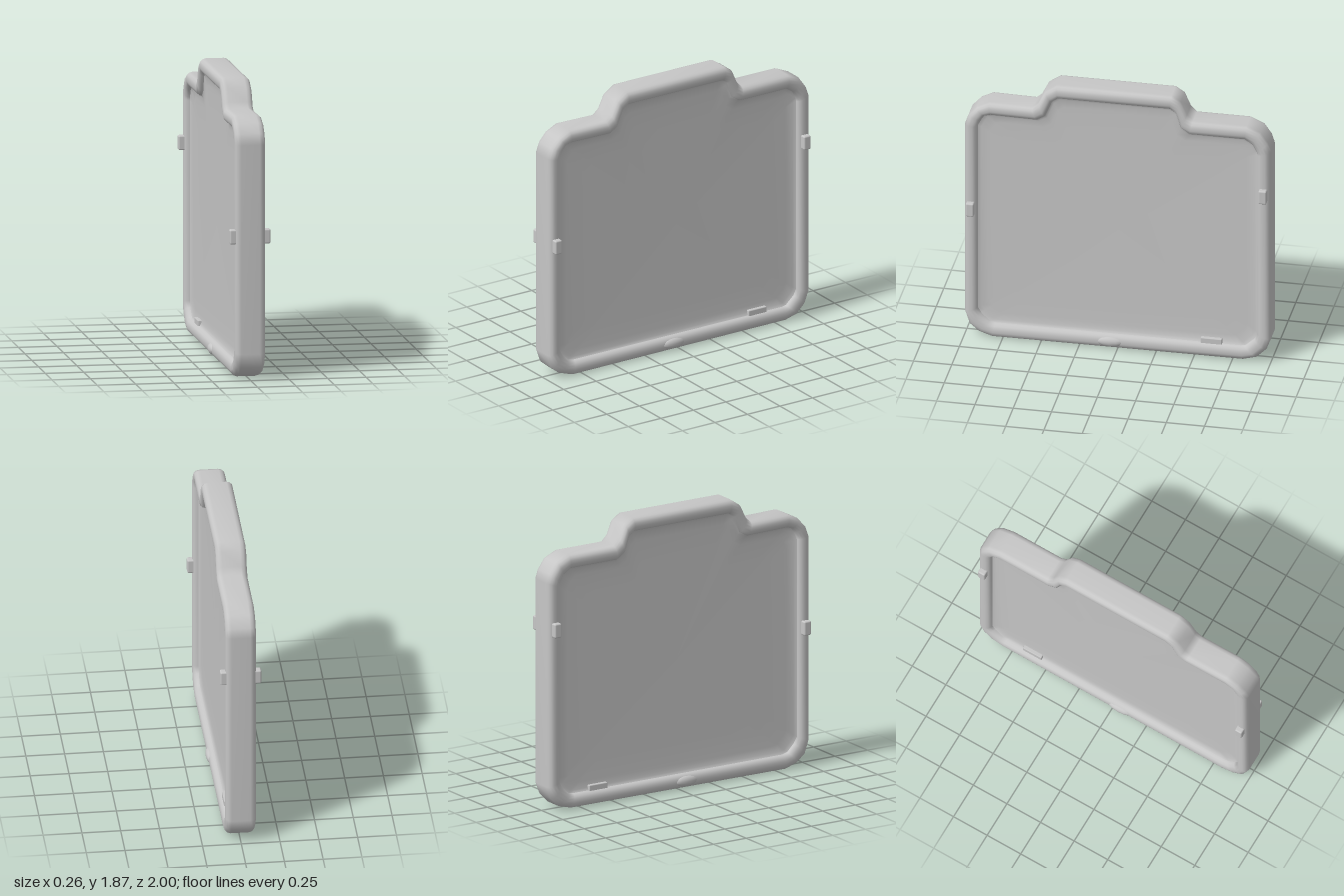
import * as THREE from 'three';
import { RoundedBoxGeometry } from 'three/addons/geometries/RoundedBoxGeometry.js';

// Rim outline in the side plane: [outer z, outer y, inner z, inner y]
const OUTLINE = [
  [1, 0.17, 0.915, 0.2], [1, 1.53, 0.915, 1.52], [0.975, 1.6, 0.89, 1.57],
  [0.92, 1.66, 0.87, 1.6], [0.84, 1.7, 0.83, 1.61], [0.56, 1.695, 0.53, 1.605],
  [0.52, 1.73, 0.475, 1.635], [0.475, 1.82, 0.43, 1.745], [0.4, 1.87, 0.39, 1.775],
  [-0.35, 1.87, -0.34, 1.775], [-0.41, 1.83, -0.38, 1.745], [-0.45, 1.74, -0.41, 1.645],
  [-0.49, 1.7, -0.47, 1.605], [-0.84, 1.7, -0.83, 1.605], [-0.93, 1.66, -0.88, 1.57],
  [-0.98, 1.59, -0.905, 1.52], [-1, 1.53, -0.91, 1.5], [-1, 0.17, -0.91, 0.2],
  [-0.97, 0.09, -0.89, 0.16], [-0.91, 0.03, -0.83, 0.105], [-0.82, 0.005, -0.8, 0.1],
  [0.82, 0, 0.8, 0.1], [0.91, 0.03, 0.84, 0.11], [0.97, 0.08, 0.89, 0.16],
];
const CENTRE_Y = 0.85;

// Ring between the outer (t = 0) and inner (t = 1) outline
const rimRing = ([t, x]) => OUTLINE.map(([oz, oy, iz, iy]) =>
  [x, oy + (iy - oy) * t, oz + (iz - oz) * t]);

// Inner outline shrunk towards the panel centre
const panelRing = ([s, x]) => OUTLINE.map(([, , iz, iy]) =>
  [x, CENTRE_Y + (iy - CENTRE_Y) * s, iz * s]);

// Smooth skin over a list of closed rings
function loft(rings) {
  const n = rings[0].length, index = [];
  for (let j = 0; j < rings.length - 1; j++) {
    for (let i = 0; i < n; i++) {
      const k = (i + 1) % n;
      const a = j * n + i, b = a + n, c = j * n + k, d = c + n;
      index.push(a, b, c, c, b, d);
    }
  }
  const geometry = new THREE.BufferGeometry();
  geometry.setAttribute('position', new THREE.Float32BufferAttribute(rings.flat(2), 3));
  geometry.setIndex(index);
  geometry.computeVertexNormals();
  return geometry;
}

const mirrored = (half) => half.map(([t, x]) => [t, -x]).reverse();

export function createModel() {
  const model = new THREE.Group();
  const grey = new THREE.MeshStandardMaterial({ color: 0xc6c6c6 });
  grey.name = 'plain grey';

  function add(name, geometry, x = 0, y = 0, z = 0) {
    const mesh = new THREE.Mesh(geometry, grey);
    mesh.name = name;
    mesh.position.set(x, y, z);
    model.add(mesh);
    return mesh;
  }

  // Rounded rim
  const half = [[0, 0.06], [0.06, 0.08], [0.2, 0.094], [0.38, 0.099],
    [0.62, 0.099], [0.82, 0.092], [0.95, 0.077], [1, 0.055], [1, 0.04]];
  add('rim', loft([...mirrored(half), ...half].map(rimRing)));

  // Shallow dished panel on each side
  const panel = [[1.002, 0.063], [0.98, 0.053], [0.92, 0.05], [0.75, 0.047], [0, 0.045]];
  add('leftPanel', loft(panel.map(panelRing)));
  add('rightPanel', loft(mirrored(panel).map(panelRing)));

  // Pegs passing through the two upright rails
  const peg = new RoundedBoxGeometry(0.265, 0.095, 0.052, 2, 0.01);
  add('frontPeg', peg, 0, 0.932, 0.957);
  add('backPeg', peg, 0, 1.222, -0.955);

  // Small catches on the bottom rail
  for (const side of [1, -1]) {
    const bump = add('bottomCatch', new THREE.SphereGeometry(1, 12, 8), side * 0.085, 0.05, 0.05);
    bump.scale.set(0.028, 0.035, 0.09);
  }

  // Low tab inside the recess
  add('recessTab', new RoundedBoxGeometry(0.15, 0.05, 0.14, 1, 0.006), 0, 0.108, -0.61);
  return model;
}
